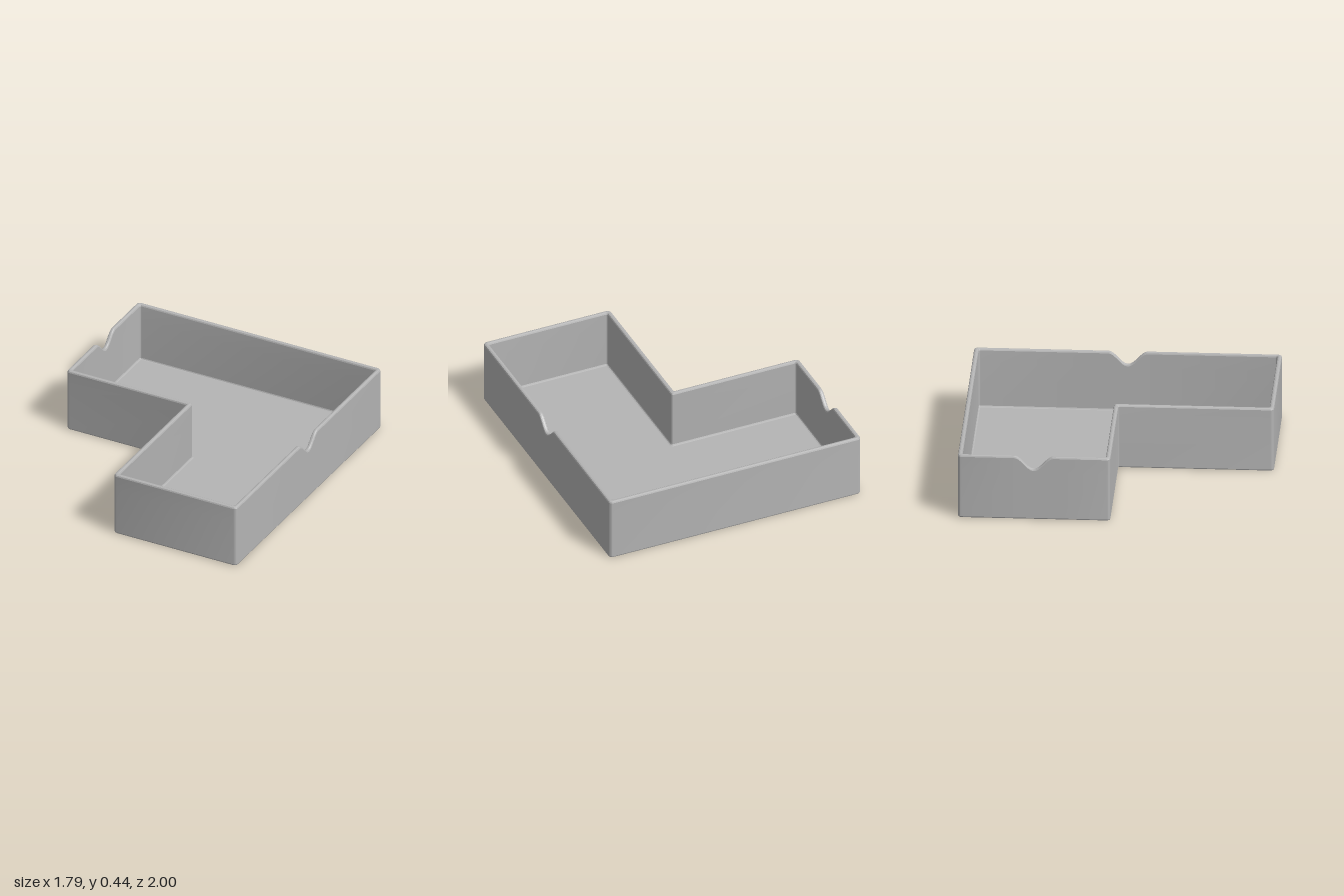
import * as THREE from 'three';
import { toCreasedNormals } from 'three/addons/utils/BufferGeometryUtils.js';

const H = 0.44, WALL = 0.03, FLOOR = 0.03;
const NOTCH_HALF = 0.13, NOTCH_DEPTH = 0.088, RIM_START = 0.335;

// L-shaped plan, counter-clockwise in (x, -z); "notch" is the cut centre along the next edge
const corners = [
  { p: [0.895, -1], notch: 0 },
  { p: [0.895, 1] },
  { p: [-0.895, 1], notch: 0.505 },
  { p: [-0.895, 0.01] },
  { p: [-0.01, 0.01], concave: true },
  { p: [-0.01, -1] },
].map((c) => ({ ...c, p: new THREE.Vector2(...c.p) }));

// Plan outline moved inwards by d, with rounded corners and extra points along the notches
function outline(d) {
  const pts = [];
  const n = corners.length;
  corners.forEach((c, i) => {
    const t0 = c.p.clone().sub(corners[(i + n - 1) % n].p).normalize();
    const t1 = corners[(i + 1) % n].p.clone().sub(c.p).normalize();
    const q = c.p.clone().add(new THREE.Vector2(-t0.y - t1.y, t0.x + t1.x).multiplyScalar(d));
    const r = c.concave ? 0.008 + 0.3 * d : 0.025 - 0.4 * d;
    const centre = q.clone().addScaledVector(t0, -r).addScaledVector(t1, r);
    for (let k = 0; k <= 4; k++) {
      const a = (k / 4) * Math.PI / 2;
      const pt = centre.clone().addScaledVector(t1, -r * Math.cos(a)).addScaledVector(t0, r * Math.sin(a));
      pts.push({ x: pt.x, s: pt.y, drop: 0 });
    }
    if (c.notch === undefined) return;
    for (let k = 0; k <= 32; k++) {
      const u = k / 16 - 1;
      pts.push({
        x: q.x,
        s: c.notch + t1.y * u * NOTCH_HALF,
        drop: NOTCH_DEPTH * (0.5 + 0.5 * Math.cos(Math.PI * u)),
      });
    }
  });
  return pts;
}

// Wall cross-section as [inset, height]: up the outside, over the rim, down the inside
const profile = [
  [0.01, 0], [0.003, 0.003], [0, 0.01], [0, RIM_START - 0.005],
  [0, H - 0.012], [0.0035, H - 0.0035], [0.011, H],
  [WALL - 0.011, H], [WALL - 0.0035, H - 0.0035], [WALL, H - 0.012],
  [WALL, RIM_START - 0.005], [WALL, FLOOR + 0.01], [WALL + 0.003, FLOOR + 0.003], [WALL + 0.01, FLOOR],
];

function wallGeometry() {
  const rings = profile.map(([d, y]) =>
    outline(d).map((p) => [p.x, y > RIM_START ? y - p.drop : y, -p.s]));
  const n = rings[0].length;
  const index = [];
  for (let i = 0; i < rings.length - 1; i++) {
    for (let k = 0; k < n; k++) {
      const a = i * n + k, b = i * n + (k + 1) % n;
      index.push(a, b, b + n, a, b + n, a + n);
    }
  }
  const g = new THREE.BufferGeometry();
  g.setAttribute('position', new THREE.Float32BufferAttribute(rings.flat(2), 3));
  g.setIndex(index);
  return toCreasedNormals(g, 0.25);
}

// Flat L-shaped sheet facing up (dir 1) or down (dir -1)
function sheetGeometry(inset, y, dir) {
  const pts = outline(inset).map((p) => new THREE.Vector2(p.x, dir * p.s));
  return new THREE.ShapeGeometry(new THREE.Shape(pts)).rotateX(-dir * Math.PI / 2).translate(0, y, 0);
}

export function createModel() {
  const grey = new THREE.MeshStandardMaterial({ color: 0xb4b4b4 });
  grey.name = 'plain grey';
  const tray = new THREE.Group();
  tray.name = 'cornerTray';
  const add = (name, geometry) => {
    const mesh = new THREE.Mesh(geometry, grey);
    mesh.name = name;
    tray.add(mesh);
  };
  add('walls', wallGeometry());
  add('floor', sheetGeometry(WALL + 0.01, FLOOR, 1));
  add('underside', sheetGeometry(0.01, 0, -1));
  return tray;
}
